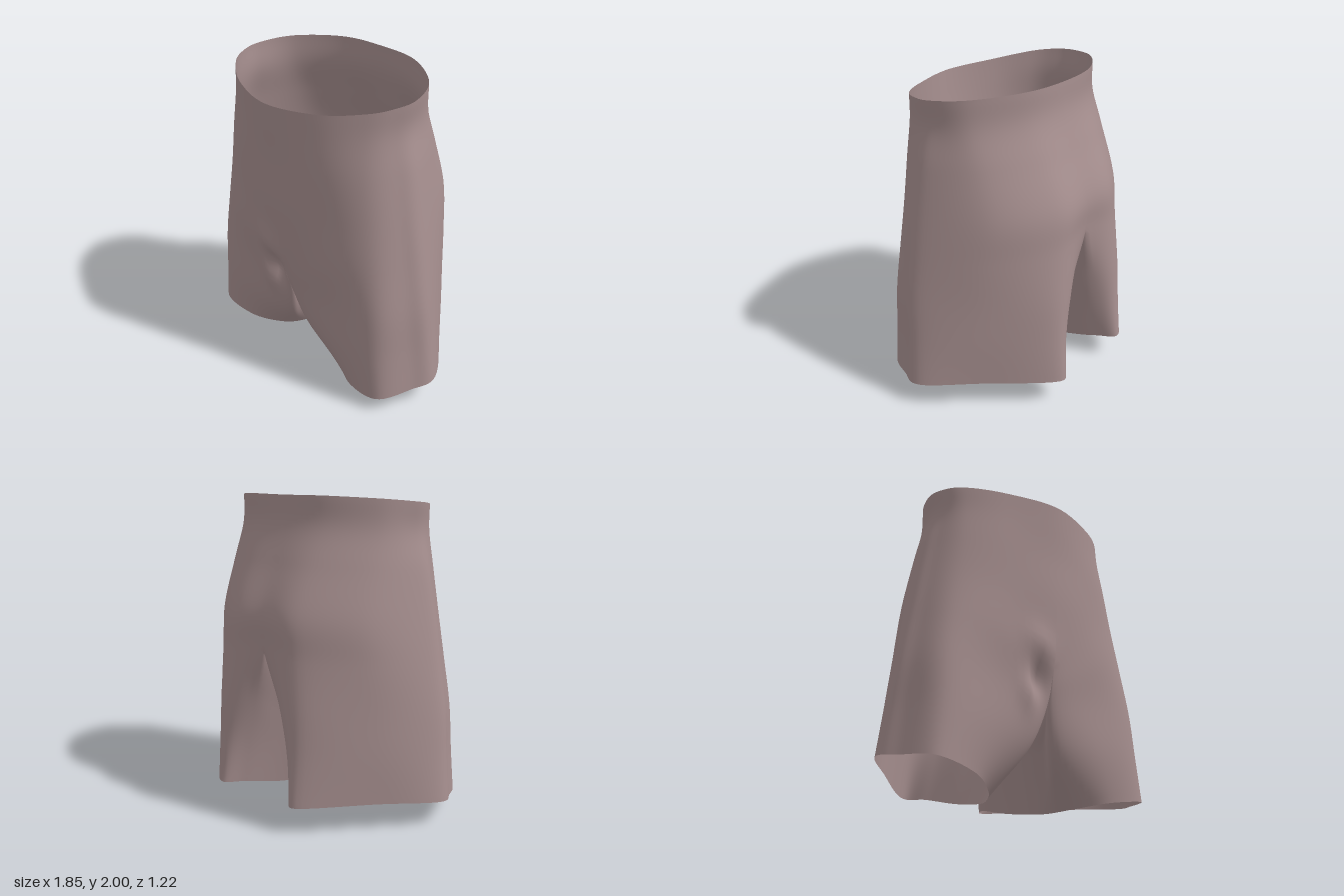
import * as THREE from 'three';
import { mergeVertices, mergeGeometries } from 'three/addons/utils/BufferGeometryUtils.js';

const V = (p) => new THREE.Vector3(...p);

// Half-sections run: centre front, front corner, front side, side front, side, side back, back corner, centre back
const trunkRows = [
  [[0, 1.89, 0.61], [0.34, 1.9, 0.52], [0.56, 1.93, 0.38], [0.65, 1.95, 0.25], [0.67, 1.965, 0.1], [0.57, 1.985, -0.11], [0.3, 2, -0.29], [0, 2, -0.33]],
  [[0, 1.74, 0.6], [0.35, 1.75, 0.52], [0.56, 1.77, 0.39], [0.645, 1.78, 0.25], [0.66, 1.79, 0.1], [0.57, 1.8, -0.12], [0.3, 1.815, -0.3], [0, 1.82, -0.345]],
  [[0, 1.52, 0.585], [0.36, 1.53, 0.525], [0.58, 1.55, 0.41], [0.68, 1.56, 0.26], [0.71, 1.57, 0.1], [0.58, 1.58, -0.19], [0.29, 1.595, -0.385], [0, 1.6, -0.415]],
  [[0, 1.2, 0.575], [0.38, 1.23, 0.52], [0.62, 1.25, 0.42], [0.73, 1.26, 0.27], [0.765, 1.27, 0.1], [0.6, 1.28, -0.27], [0.28, 1.3, -0.505], [0, 1.31, -0.515]],
].map((row) => row.map(V));
const legRows = [
  [[0, 0.78, 0.53], [0.38, 0.92, 0.52], [0.66, 0.97, 0.435], [0.775, 0.99, 0.27], [0.81, 1, 0.1], [0.63, 1.02, -0.26], [0.3, 1.05, -0.525], [0, 1.09, -0.515]],
  [[0.025, 0.56, 0.48], [0.37, 0.63, 0.495], [0.7, 0.67, 0.45], [0.82, 0.69, 0.27], [0.855, 0.7, 0.1], [0.65, 0.72, -0.25], [0.33, 0.74, -0.55], [0.1, 0.75, -0.49]],
  [[0.11, 0.3, 0.42], [0.42, 0.34, 0.48], [0.725, 0.38, 0.455], [0.845, 0.4, 0.26], [0.885, 0.42, 0.09], [0.67, 0.44, -0.24], [0.34, 0.45, -0.57], [0.17, 0.45, -0.48]],
  [[0.32, 0.015, 0.31], [0.5, 0.055, 0.44], [0.755, 0.1, 0.455], [0.87, 0.13, 0.26], [0.915, 0.155, 0.08], [0.68, 0.175, -0.23], [0.34, 0.17, -0.6], [0.23, 0.15, -0.48]],
].map((row) => row.map(V));

// Crotch seam and inner hem, back to front
const seam = [[0, 0.8, -0.25], [0, 0.57, 0.1], [0, 0.5, 0.38]].map(V);
const innerHem = [[0.2, 0.07, -0.2], [0.2, 0.02, 0.03], [0.235, 0.002, 0.17]].map(V);

// Smooth curve through points, s counted in point steps
const curve = (pts) => {
  const c = new THREE.CatmullRomCurve3(pts, false, 'catmullrom', 0.5);
  return (s) => c.getPoint(s / (pts.length - 1));
};

// A neighbour reflected across the end point keeps the centre line smooth
const reflect = (end, next) => new THREE.Vector3(2 * end.x - next.x, next.y, next.z);

// Soft bunched cloth at the front of the right leg
function wrinkle(p) {
  const bump = (x, y, rx, ry) => Math.exp(-(((p.x - x) / rx) ** 2) - ((p.y - y) / ry) ** 2);
  p.z += THREE.MathUtils.smoothstep(p.z, 0.25, 0.48) * (0.03 * bump(-0.12, 0.89, 0.1, 0.1)
    - 0.06 * bump(-0.1, 0.7, 0.06, 0.11) + 0.025 * bump(-0.18, 0.58, 0.05, 0.1));
}

// Grid lofted through section functions; side = 1 for left, -1 for right
function loft(sections, uMin, uMax, nu, vMin, vMax, nv, side) {
  const pos = [], index = [];
  for (let i = 0; i <= nu; i++) {
    const u = uMin + ((uMax - uMin) * i) / nu;
    const column = curve(sections.map((f) => f(u)));
    for (let j = 0; j <= nv; j++) {
      const p = column(vMin + ((vMax - vMin) * j) / nv);
      p.x *= side;
      wrinkle(p);
      pos.push(p.x, p.y, p.z);
      if (i < nu && j < nv) {
        const a = i * (nv + 1) + j, b = a + nv + 1;
        if (side > 0) index.push(a, a + 1, b, b, a + 1, b + 1);
        else index.push(a, b, a + 1, b, b + 1, a + 1);
      }
    }
  }
  const g = new THREE.BufferGeometry();
  g.setAttribute('position', new THREE.Float32BufferAttribute(pos, 3));
  g.setIndex(index);
  return g;
}

export function createModel() {
  const cloth = new THREE.MeshStandardMaterial({ color: 0xa58e8e });
  cloth.name = 'dustyMauveCloth';
  cloth.side = THREE.DoubleSide;

  // Inner leg points; the first set only guides the direction at the seam
  const mids = [-1, 0, 1, 2, 3].map((k) => seam.map((s, i) => (k < 0
    ? s.clone().add(new THREE.Vector3(0, 0.27, 0))
    : s.clone().lerp(innerHem[i], k / 3))));

  // Trunk sections mirror at the centre line, leg sections run on into the inner leg
  const rows = [...trunkRows, ...legRows];
  const outer = rows.map((r, n) => (n < 5
    ? curve([reflect(r[0], r[1]), ...r, reflect(r[7], r[6])])
    : curve([mids[n - 3][2], ...r, mids[n - 3][0]])));
  const inner = mids.map((mid, m) => {
    const r = rows[m + 3];
    const ends = m < 2 ? [r[7], r[0]] : [r[6], r[1]];
    return curve([ends[0], r[7], ...mid, r[0], ends[1]]);
  });

  const parts = [];
  for (const side of [1, -1]) {
    parts.push(loft(outer, 1, 8, 56, 0, 7, 56, side));
    parts.push(loft(inner, 1, 5, 32, 1, 4, 24, side));
  }
  const shell = mergeVertices(mergeGeometries(parts), 1e-4);
  shell.computeVertexNormals();

  const shorts = new THREE.Mesh(shell, cloth);
  shorts.name = 'shortsShell';
  const group = new THREE.Group();
  group.name = 'shorts';
  group.add(shorts);
  return group;
}
